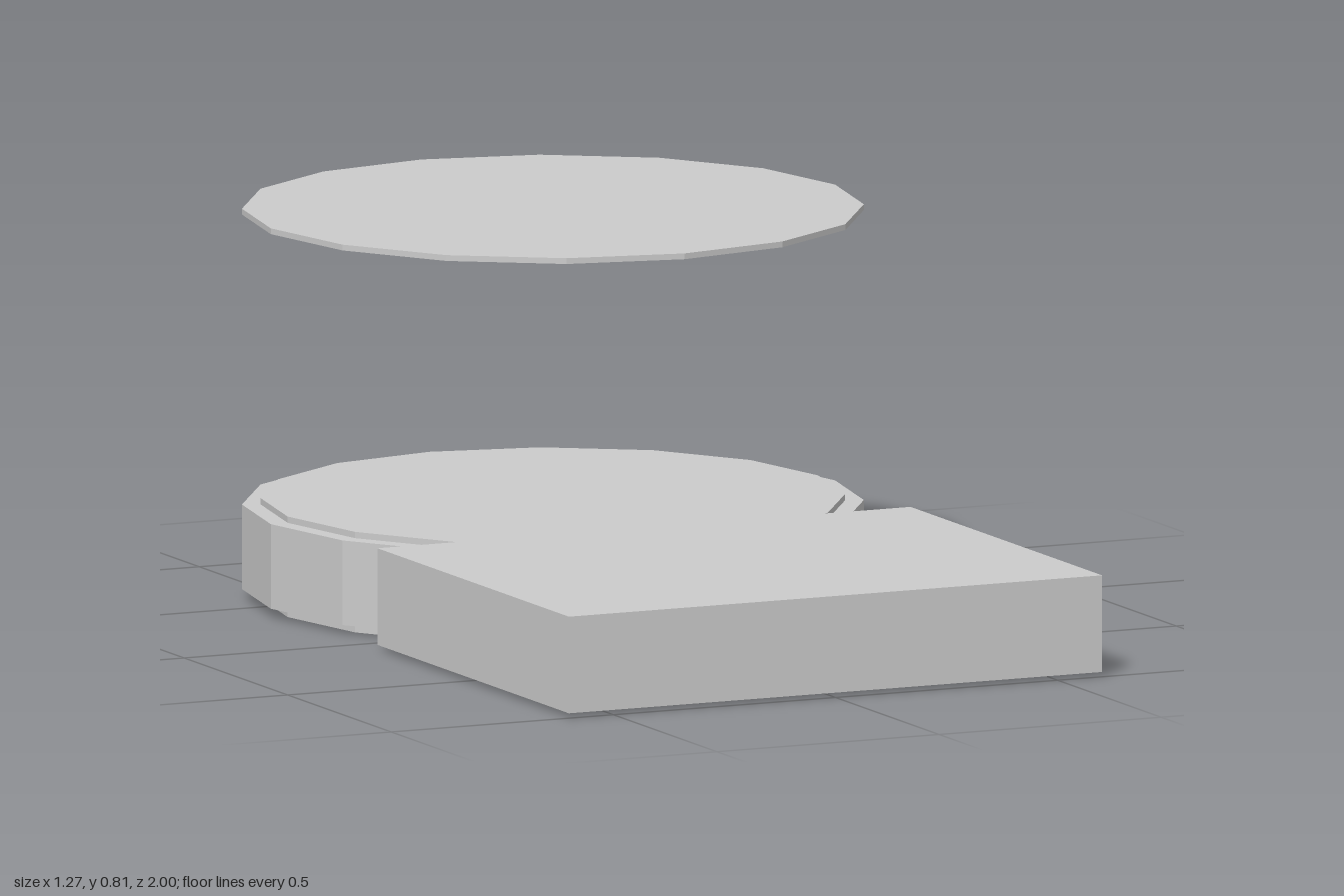
import * as THREE from 'three';

const SIDES = 16;
const CENTRE_Z = -0.365;

export function createModel() {
  const model = new THREE.Group();
  const grey = new THREE.MeshStandardMaterial({ color: 0xcccccc, flatShading: true });

  function add(name, geometry, y, z) {
    const mesh = new THREE.Mesh(geometry, grey);
    mesh.name = name;
    mesh.position.set(0, y, z);
    model.add(mesh);
  }

  // Sixteen-sided disc between two heights
  function addDisc(name, radius, bottom, top) {
    const geometry = new THREE.CylinderGeometry(radius, radius, top - bottom, SIDES);
    add(name, geometry, (bottom + top) / 2, CENTRE_Z);
  }

  // Rectangular slab at the front
  add('frontSlab', new THREE.BoxGeometry(1.2, 0.2, 0.925), 0.11, 0.5375);

  // Round base: inner drum standing proud of a wider rim, above and below
  addDisc('innerDrum', 0.597, 0, 0.208);
  addDisc('outerRim', 0.635, 0.02, 0.195);

  // Thin disc floating over the round base
  addDisc('floatingDisc', 0.635, 0.795, 0.807);

  return model;
}
